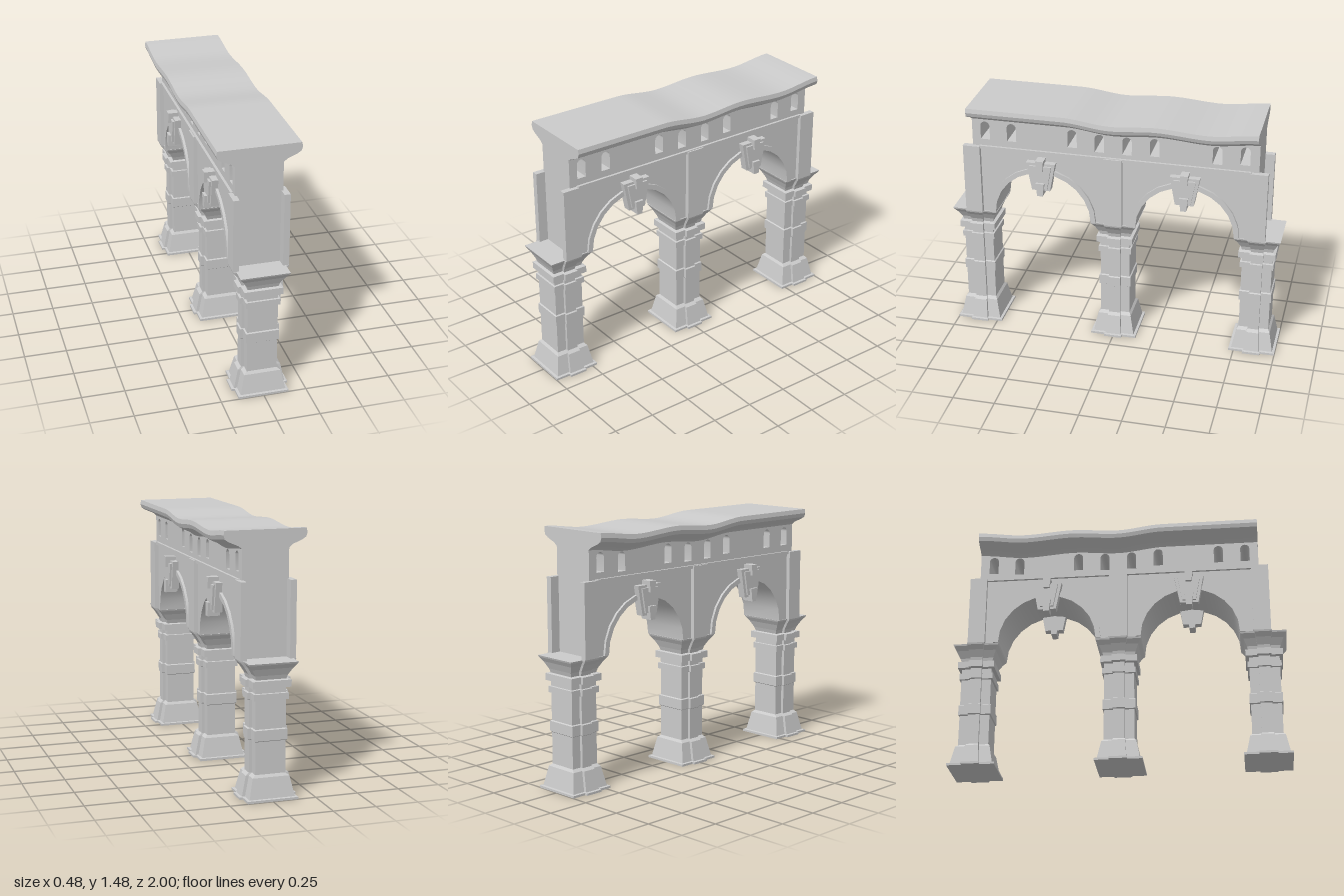
import * as THREE from 'three';
import { toCreasedNormals } from 'three/addons/utils/BufferGeometryUtils.js';

const SPRING = 0.775;        // height where the arches start
const ARCH_Z = [-0.43, 0.43];
const END = 0.852;           // half length of the wall
const material = new THREE.MeshStandardMaterial({ color: 0xcccccc });

// Gentle sag of the roof line along z: [z, drop]
const SAG = [[-0.86, 0], [-0.57, -0.028], [-0.27, -0.01], [0, -0.028], [0.28, 0], [0.86, 0]];
function sag(z) {
  for (let i = 1; i < SAG.length; i++) {
    const [z0, a] = SAG[i - 1], [z1, b] = SAG[i];
    if (z <= z1) return a + (b - a) * THREE.MathUtils.smoothstep(z, z0, z1);
  }
  return 0;
}

function add(parent, name, geometry) {
  const mesh = new THREE.Mesh(geometry, material);
  mesh.name = name;
  parent.add(mesh);
  return mesh;
}

function box(parent, name, x0, x1, y0, y1, z0, z1) {
  const mesh = add(parent, name, new THREE.BoxGeometry(x1 - x0, y1 - y0, z1 - z0));
  mesh.position.set((x0 + x1) / 2, (y0 + y1) / 2, (z0 + z1) / 2);
}

// Extrude a (z, y) outline across x, from x0 to x1
function across(shape, x0, x1, curveSegments = 6) {
  const geo = new THREE.ExtrudeGeometry(shape, { depth: x1 - x0, bevelEnabled: false, curveSegments });
  geo.translate(0, 0, -(x1 - x0) / 2).rotateY(-Math.PI / 2).translate((x0 + x1) / 2, 0, 0);
  return toCreasedNormals(geo, 0.5);
}

const polygon = (points) => new THREE.Shape(points.map(([a, b]) => new THREE.Vector2(a, b)));

// Pillar levels: [y, half width in x, half depth in z]
const PILLAR = [
  [0, 0.165, 0.14], [0.013, 0.165, 0.14], [0.015, 0.15, 0.125], [0.13, 0.125, 0.102], [0.145, 0.106, 0.09],
  [0.33, 0.106, 0.09], [0.335, 0.114, 0.097], [0.395, 0.114, 0.097], [0.4, 0.106, 0.09],
  [0.56, 0.106, 0.09], [0.562, 0.118, 0.1], [0.598, 0.118, 0.1], [0.6, 0.106, 0.09],
  [0.63, 0.106, 0.09], [0.632, 0.13, 0.11], [0.672, 0.13, 0.11], [0.676, 0.106, 0.092],
  [0.70, 0.112, 0.1], [0.74, 0.137, 0.118], [0.765, 0.157, 0.134], [SPRING, 0.16, 0.138],
];

// Cross-shaped plan: a block with a projecting strip on each x side
function pillarRing([y, sx, mz]) {
  const mx = sx - 0.018, sz = mz * 0.38;
  return [[-mx, mz], [mx, mz], [mx, sz], [sx, sz], [sx, -sz], [mx, -sz],
    [mx, -mz], [-mx, -mz], [-mx, -sz], [-sx, -sz], [-sx, sz], [-mx, sz]].map(([x, z]) => [x, y, z]);
}

function pillarGeometry() {
  const rings = PILLAR.map(pillarRing), n = rings[0].length, last = rings.length - 1, pos = [];
  const tri = (...points) => points.forEach((p) => pos.push(...p));
  for (let i = 0; i < n; i++) {
    const j = (i + 1) % n;
    for (let k = 0; k < last; k++) {
      const lo = rings[k], hi = rings[k + 1];
      tri(lo[i], lo[j], hi[j]);
      tri(lo[i], hi[j], hi[i]);
    }
    tri([0, 0, 0], rings[0][j], rings[0][i]);
    tri([0, SPRING, 0], rings[last][i], rings[last][j]);
  }
  const geo = new THREE.BufferGeometry();
  geo.setAttribute('position', new THREE.Float32BufferAttribute(pos, 3));
  geo.computeVertexNormals();
  return geo;
}

// Wall outline with two arches, a sagging top and small round-headed windows
function wallGeometry() {
  const shape = new THREE.Shape(), r = 0.305;
  shape.moveTo(-END, SPRING);
  for (const c of ARCH_Z) {
    shape.lineTo(c - r, SPRING);
    shape.absarc(c, SPRING, r, Math.PI, 0, true);
  }
  shape.lineTo(END, SPRING);
  for (let i = 0; i <= 32; i++) {
    const z = END - (2 * END * i) / 32;
    shape.lineTo(z, 1.392 + sag(z));
  }
  for (const z of [-0.77, -0.61, -0.245, -0.082, 0.082, 0.245, 0.612, 0.773]) {
    const w = 0.028, drop = sag(z) * 0.6, hole = new THREE.Path();
    hole.moveTo(z - w, 1.252 + drop);
    hole.lineTo(z + w, 1.252 + drop);
    hole.lineTo(z + w, 1.336 + drop);
    hole.absarc(z, 1.336 + drop, w, 0, Math.PI, false);
    shape.holes.push(hole);
  }
  return across(shape, -0.135, 0.135);
}

// Roof slab: a moulded section swept along z, following the sag
function corniceGeometry() {
  const half = [[0.135, 1.378], [0.155, 1.395], [0.21, 1.418], [0.232, 1.432], [0.24, 1.455], [0.235, 1.481]];
  const outline = polygon([...half, ...half.map(([x, y]) => [-x, y]).reverse()]);
  const geo = new THREE.ExtrudeGeometry(outline, { depth: 1.706, steps: 40, bevelEnabled: false });
  geo.translate(0, 0, -0.853);
  const p = geo.attributes.position;
  for (let i = 0; i < p.count; i++) p.setY(i, p.getY(i) + sag(p.getZ(i)));
  return toCreasedNormals(geo, 0.45);
}

function archTrimGeometry() {
  const ring = new THREE.Shape();
  ring.absarc(0, SPRING, 0.325, 0, Math.PI, false);
  ring.absarc(0, SPRING, 0.295, Math.PI, 0, true);
  return across(ring, -0.15, 0.15);
}

// Keystone on the +x face: framed wedge with a block at its top and foot
function keystone() {
  const group = new THREE.Group();
  group.name = 'keystone';
  const wedge = (name, yTop, wTop, yLow, wLow, x1) => add(group, name,
    across(polygon([[-wLow, yLow], [wLow, yLow], [wTop, yTop], [-wTop, yTop]]), 0.125, x1));
  wedge('keystoneFrame', 1.145, 0.088, 0.97, 0.055, 0.172);
  wedge('keystonePanel', 1.13, 0.066, 0.985, 0.04, 0.184);
  wedge('keystoneTopBlock', 1.17, 0.024, 1.105, 0.018, 0.2);
  wedge('keystoneFootBlock', 1.025, 0.026, 0.945, 0.017, 0.2);
  return group;
}

export function createModel() {
  const model = new THREE.Group();
  model.name = 'arcade';

  const pillar = pillarGeometry();
  for (const z of [-0.86, 0, 0.86]) add(model, 'pillar', pillar).position.z = z;

  add(model, 'archedWall', wallGeometry());
  add(model, 'cornice', corniceGeometry());

  const trim = archTrimGeometry();
  for (const z of ARCH_Z) {
    add(model, 'archTrim', trim).position.z = z;
    for (const turn of [0, Math.PI]) {
      const key = keystone();
      key.position.z = z;
      key.rotation.y = turn;
      model.add(key);
    }
  }

  // Vertical strips above the pillars and the string course between them
  for (const s of [-1, 1]) {
    const x0 = s > 0 ? 0.125 : -0.16, x1 = s > 0 ? 0.16 : -0.125;
    for (const [z0, z1] of [[-0.908, -0.805], [-0.055, 0.055], [0.805, 0.908]]) {
      box(model, 'wallStrip', x0, x1, SPRING, 1.208, z0, z1);
    }
  }
  box(model, 'stringCourse', -0.15, 0.15, 1.193, 1.212, -0.81, 0.81);

  return model;
}
